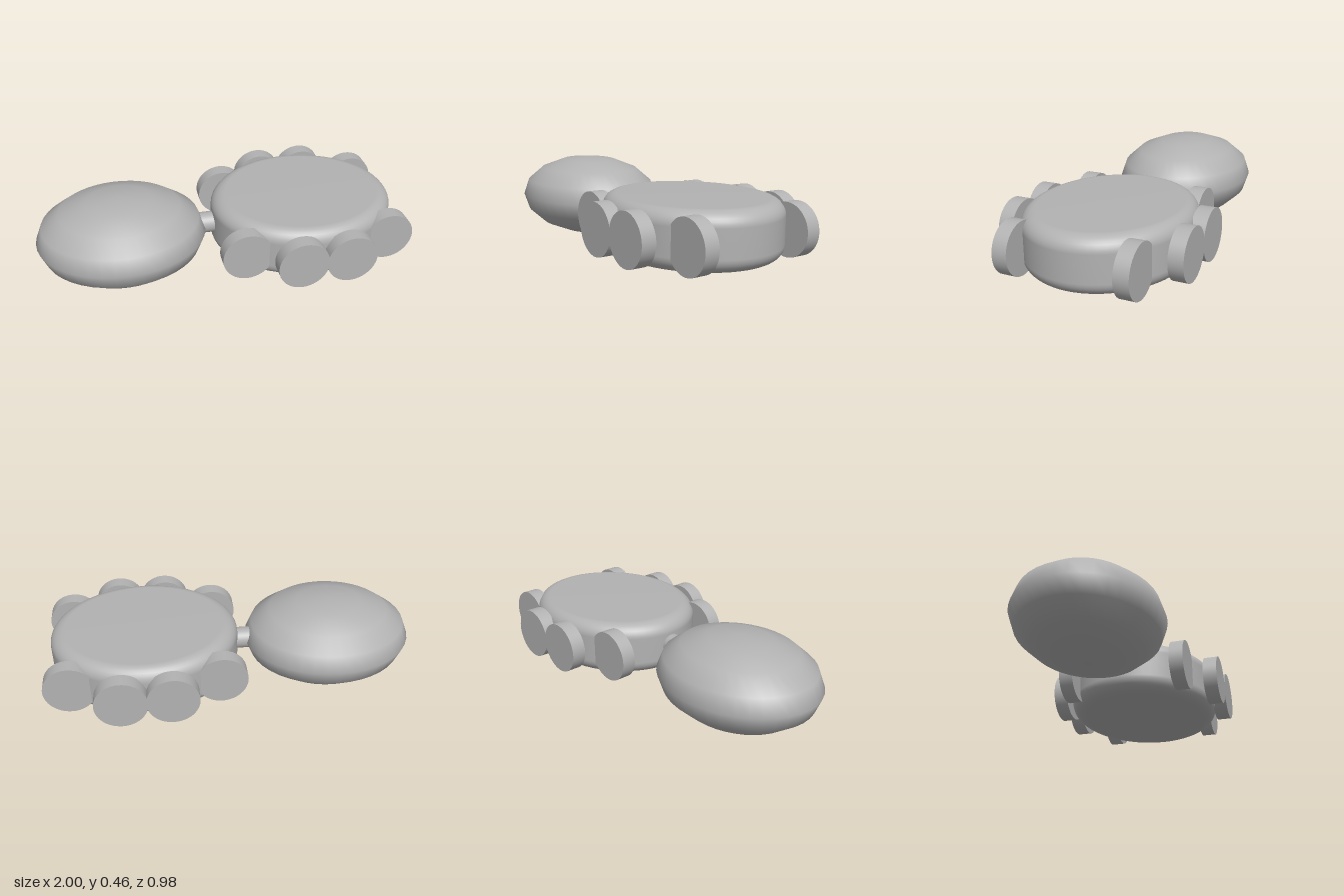
import * as THREE from 'three';

export function createModel() {
  const model = new THREE.Group();
  const grey = new THREE.MeshStandardMaterial({ color: 0xb2b2b2 });
  grey.name = 'plain grey';

  function add(name, geometry, x, y, z) {
    const mesh = new THREE.Mesh(geometry, grey);
    mesh.name = name;
    mesh.position.set(x, y, z);
    model.add(mesh);
    return mesh;
  }

  // Oval body with flat top and bottom and rounded rims
  const rx = 0.505, rz = 0.425, half = 0.147, filletOut = 0.17, filletUp = 0.075;
  const profile = [new THREE.Vector2(0, -half)];
  for (const side of [-1, 1]) {
    for (let i = 0; i <= 8; i++) {
      const a = (side < 0 ? i : 8 - i) / 8 * Math.PI / 2;
      profile.push(new THREE.Vector2(
        1 - filletOut + filletOut * Math.sin(a),
        side * (half - filletUp + filletUp * Math.cos(a))
      ));
    }
  }
  profile.push(new THREE.Vector2(0, half));
  const body = new THREE.LatheGeometry(profile, 64);
  body.scale(rx, 1, rz);
  add('body', body, 0.465, 0.227, 0);

  // Flattened egg-shaped head
  const head = new THREE.SphereGeometry(1, 40, 8);
  head.scale(0.458, 0.231, 0.382);
  add('head', head, -0.542, 0.232, 0);

  // Short neck between head and body
  const neck = new THREE.CylinderGeometry(0.058, 0.058, 0.16, 32);
  neck.rotateZ(Math.PI / 2);
  add('neck', neck, -0.06, 0.233, 0);

  // Four disc wheels along each side: [x, distance from the centre line]
  const wheel = new THREE.CylinderGeometry(0.136, 0.136, 0.078, 48);
  wheel.rotateX(Math.PI / 2);
  const spots = [[0.079, 0.318], [0.341, 0.452], [0.602, 0.452], [0.862, 0.308]];
  for (const side of [1, -1]) {
    spots.forEach(([x, z], i) => {
      add((side > 0 ? 'frontWheel' : 'backWheel') + (i + 1), wheel, x, 0.227, side * z);
    });
  }

  return model;
}
